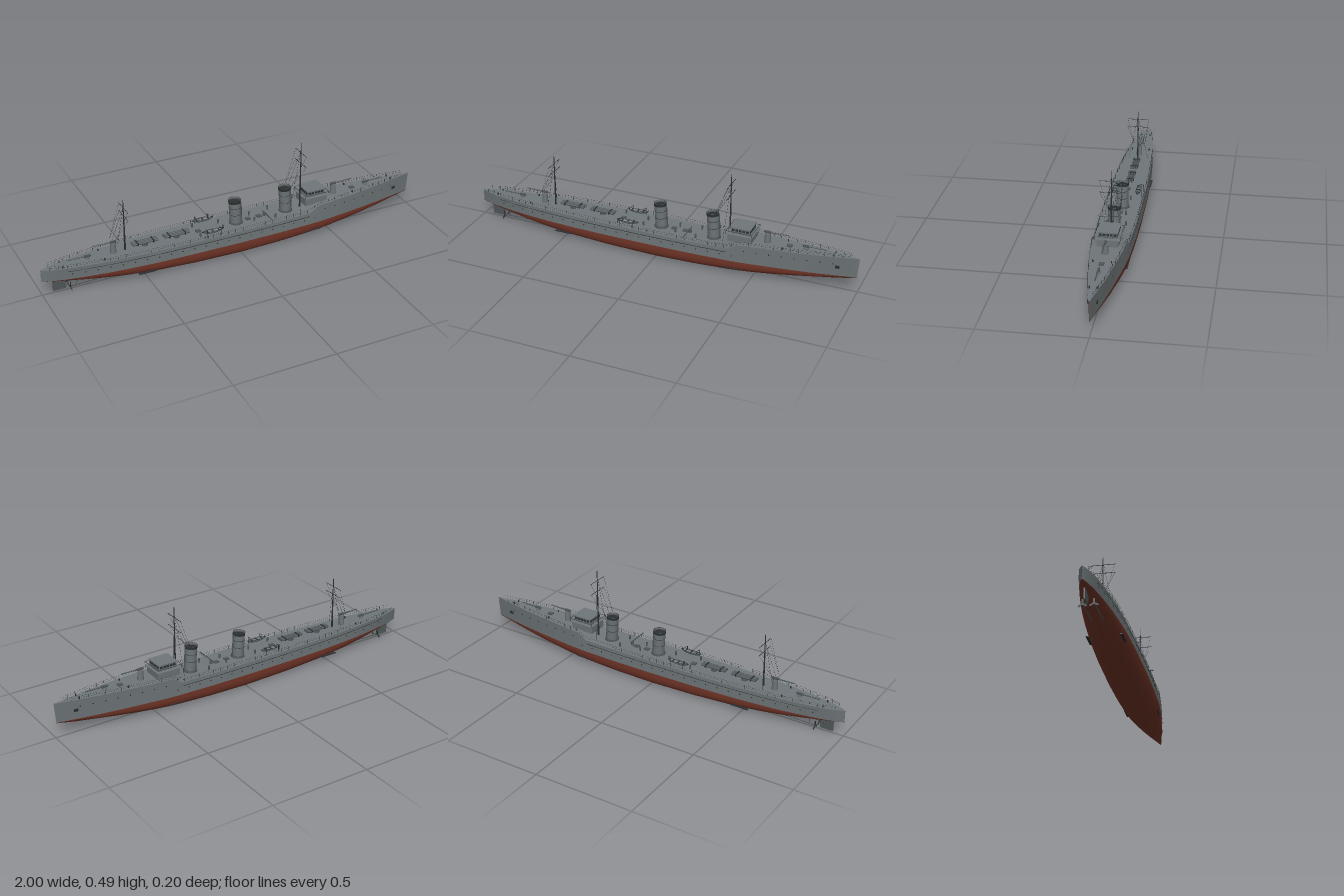
import * as THREE from 'three';
import { toCreasedNormals } from 'three/addons/utils/BufferGeometryUtils.js';

const mat = (name, color, side = THREE.FrontSide) => {
  const m = new THREE.MeshStandardMaterial({ color, side });
  m.name = name;
  return m;
};

// x, greatest half width, keel height
const STATIONS = [
  [-1, 0.001, 0.073], [-0.98, 0.012, 0.071], [-0.95, 0.023, 0.067], [-0.9, 0.037, 0.058], [-0.8, 0.055, 0.04],
  [-0.7, 0.068, 0.026], [-0.6, 0.077, 0.016], [-0.45, 0.087, 0.008], [-0.25, 0.093, 0.003], [0, 0.096, 0], [0.2, 0.095, 0.002],
  [0.375, 0.09, 0.005], [0.425, 0.087, 0.006], [0.5, 0.08, 0.009], [0.6, 0.068, 0.015], [0.7, 0.055, 0.024],
  [0.8, 0.04, 0.037], [0.9, 0.021, 0.053], [0.96, 0.009, 0.065], [1, 0.001, 0.073],
];
const WATER = 0.075;
const lerp = THREE.MathUtils.lerp;

function station(x) {
  let i = 1;
  while (i < STATIONS.length - 1 && STATIONS[i][0] < x) i++;
  const a = STATIONS[i - 1], b = STATIONS[i], t = (x - a[0]) / (b[0] - a[0]);
  return { w: lerp(a[1], b[1], t), keel: lerp(a[2], b[2], t) };
}
const deckY = x => x < 0.375 ? 0.136 : x < 0.425 ? lerp(0.136, 0.165, (x - 0.375) / 0.05) : lerp(0.165, 0.176, (x - 0.425) / 0.575);
const deckW = x => station(x).w * (0.95 + 0.05 * x ** 4);
const waterW = x => station(x).w * (1 - 0.2 * x ** 4);
const stemX = (x, y) => x > 0.85 ? x - 0.014 * (x - 0.85) / 0.15 * (1 - y / 0.176) : x;
const sideZ = (x, y) => lerp(waterW(x), deckW(x), (y - WATER) / (deckY(x) - WATER));

// Skin over cross-sections that share a point count
function loft(rows) {
  const n = rows[0].length, index = [];
  for (let i = 0; i < rows.length - 1; i++) for (let j = 0; j < n - 1; j++) {
    const a = i * n + j, b = a + n;
    index.push(a, a + 1, b, a + 1, b + 1, b);
  }
  const g = new THREE.BufferGeometry();
  g.setAttribute('position', new THREE.Float32BufferAttribute(rows.flat(2), 3));
  g.setIndex(index);
  return toCreasedNormals(g, 0.7);
}

export function createModel() {
  const ship = new THREE.Group();
  ship.name = 'warship';
  const grey = mat('hullGrey', 0x6c7375, THREE.DoubleSide), deckGrey = mat('deckGrey', 0x70777a, THREE.DoubleSide);
  const red = mat('bottomRed', 0x77382a, THREE.DoubleSide), dark = mat('darkGrey', 0x2c3032, THREE.DoubleSide);
  const mid = mat('fittingGrey', 0x505759);

  const add = (name, geo, m, x = 0, y = 0, z = 0, parent = ship) => {
    const mesh = new THREE.Mesh(geo, m);
    mesh.name = name;
    mesh.position.set(x, y, z);
    parent.add(mesh);
    return mesh;
  };
  const box = (name, w, h, d, m, x, y, z, p) => add(name, new THREE.BoxGeometry(w, h, d), m, x, y, z, p);
  const cyl = (name, r0, r1, h, m, x, y, z, p) => add(name, new THREE.CylinderGeometry(r0, r1, h, 20), m, x, y, z, p);
  const rod = (name, a, b, r, m = dark, p = ship, sides = 5) => {
    const A = new THREE.Vector3(...a), d = new THREE.Vector3(...b).sub(A);
    const mesh = add(name, new THREE.CylinderGeometry(r, r, d.length(), sides), m, 0, 0, 0, p);
    mesh.position.copy(A).addScaledVector(d, 0.5);
    mesh.quaternion.setFromUnitVectors(new THREE.Vector3(0, 1, 0), d.normalize());
    return mesh;
  };
  const group = name => { const g = new THREE.Group(); g.name = name; ship.add(g); return g; };

  // Hull: full round bilge amidships, V-shaped towards the ends
  const full = [[1, 1], [0.985, 0.7], [0.93, 0.38], [0.84, 0.17], [0.72, 0.06], [0.5, 0.01], [0, 0]];
  const bottom = STATIONS.map(([x, , keel]) => {
    const v = 0.75 * x * x;
    const half = full.map(([z, y]) => {
      const yy = lerp(keel, WATER, lerp(y, z, v));
      return [stemX(x, yy), yy, z * waterW(x)];
    });
    return [...half, ...half.slice(0, -1).reverse().map(([a, b, c]) => [a, b, -c])];
  });
  add('hullBottom', loft(bottom), red);
  for (const s of [1, -1]) {
    const rows = STATIONS.map(([x]) => {
      const r = [deckY(x), 0.118, WATER].map(y => [stemX(x, y), y, s * sideZ(x, y)]);
      return s > 0 ? r : r.reverse();
    });
    add('hullSide', loft(rows), grey);
  }
  add('deck', loft(STATIONS.map(([x]) => [[x, deckY(x), -deckW(x)], [x, deckY(x), deckW(x)]])), deckGrey);

  // Rubbing strakes, portholes, bilge plates, anchors
  for (const s of [1, -1]) {
    const strake = group('rubbingStrake');
    for (let x = -0.88; x < 0.37; x += 0.125)
      rod('strake', [x, 0.118, s * sideZ(x, 0.118)], [x + 0.125, 0.118, s * sideZ(x + 0.125, 0.118)], 0.0016, dark, strake);
    const ports = group('portholes');
    for (let x = -0.86; x < 0.9; x += 0.06) {
      const y = x > 0.45 ? 0.138 : 0.103;
      const p = cyl('porthole', 0.003, 0.003, 0.003, dark, x, y, s * sideZ(x, y), ports);
      p.rotation.x = Math.PI / 2;
    }
    for (const x of [-0.5, 0.39]) box('bilgePlate', 0.09, 0.003, 0.012, dark, x, 0.032, s * 0.078);
    box('anchor', 0.02, 0.014, 0.006, dark, 0.9, 0.122, s * sideZ(0.9, 0.122));
  }

  // Rudder, shafts and propellers
  box('rudder', 0.065, 0.052, 0.006, mid, -0.915, 0.036, 0);
  rod('rudderStock', [-0.9, 0.03, 0], [-0.9, 0.08, 0], 0.004, mid);
  for (const s of [1, -1]) {
    rod('propellerShaft', [-0.87, 0.027, s * 0.025], [-0.66, 0.034, s * 0.025], 0.0025, mid);
    rod('shaftStrut', [-0.84, 0.028, s * 0.025], [-0.83, 0.06, s * 0.015], 0.002, mid);
    for (let k = 0; k < 3; k++) {
      const b = box('propellerBlade', 0.003, 0.026, 0.008, dark, -0.868, 0.027, s * 0.025);
      b.geometry.translate(0, 0.009, 0);
      b.rotation.x = k * Math.PI * 2 / 3;
    }
  }

  // Funnels, raked slightly aft
  for (const [x, top] of [[0, 0.265], [0.275, 0.27]]) {
    const f = group('funnel'), h = top - 0.136;
    f.position.set(x + 0.003, 0.136, 0);
    f.rotation.z = 0.06;
    add('casing', new THREE.CylinderGeometry(0.029, 0.029, h, 24, 1, true), grey, 0, h / 2, 0, f);
    cyl('base', 0.033, 0.035, 0.012, mid, 0, 0.004, 0, f);
    add('topBand', new THREE.CylinderGeometry(0.0305, 0.0305, 0.014, 24, 1, true), dark, 0, h - 0.007, 0, f);
    cyl('smokeOpening', 0.029, 0.029, 0.002, dark, 0, h - 0.012, 0, f);
    for (const y of [0.4, 0.68]) add('hoop', new THREE.TorusGeometry(0.029, 0.0012, 5, 24).rotateX(Math.PI / 2), dark, 0, h * y, 0, f);
    rod('steamPipe', [0.033, 0, 0], [0.033, h * 0.95, 0], 0.003, mid, f, 8);
  }

  // Bridge: lower house, open wings, windowed wheelhouse
  const bridge = group('bridge');
  box('lowerHouse', 0.12, 0.04, 0.1, grey, 0.425, 0.18, 0, bridge);
  box('bridgeDeck', 0.132, 0.004, 0.122, deckGrey, 0.425, 0.201, 0, bridge);
  box('wheelhouse', 0.095, 0.032, 0.088, grey, 0.427, 0.217, 0, bridge);
  box('roof', 0.103, 0.004, 0.096, deckGrey, 0.427, 0.234, 0, bridge);
  for (let k = -2; k <= 2; k++) {
    for (const s of [1, -1]) {
      box('sideWindow', 0.013, 0.011, 0.002, dark, 0.427 + k * 0.018, 0.221, s * 0.0442, bridge);
      box('endWindow', 0.002, 0.011, 0.012, dark, 0.427 + s * 0.0477, 0.221, k * 0.0168, bridge);
    }
  }
  const corners = [[0.36, -0.06], [0.49, -0.06], [0.49, 0.06], [0.36, 0.06]];
  corners.forEach(([x, z], i) => {
    const [x2, z2] = corners[(i + 1) % 4];
    rod('wingPost', [x, 0.2, z], [x, 0.218, z], 0.001, dark, bridge);
    rod('wingRail', [x, 0.218, z], [x2, 0.218, z2], 0.001, dark, bridge);
  });

  // Deck guns: x, base, barrel height, barrel length and direction
  for (const [x, base, y, r, len] of [[0.74, 0.17, 0.187, 0.012, 0.1], [0.55, 0.166, 0.222, 0.016, 0.1],
    [-0.64, 0.136, 0.194, 0.015, -0.1], [-0.77, 0.136, 0.152, 0.01, -0.1]]) {
    const g = group('deckGun'), d = Math.sign(len);
    cyl('pedestal', r * 0.85, r, y - base - 0.006, grey, x, (y + base - 0.006) / 2, 0, g);
    box('breech', 0.03, 0.01, 0.01, mid, x, y, 0, g);
    rod('barrel', [x - d * 0.02, y, 0], [x + len, y + 0.002, 0], 0.003, mid, g, 8);
  }
  const sideGun = group('sideGun');
  cyl('pedestal', 0.006, 0.008, 0.02, mid, 0.157, 0.146, 0.004, sideGun);
  rod('barrel', [0.157, 0.156, -0.012], [0.157, 0.157, 0.1], 0.003, mid, sideGun, 8);

  // Triple torpedo tubes
  for (const x of [-0.48, -0.315]) {
    const t = group('torpedoTubes');
    cyl('mount', 0.014, 0.016, 0.016, mid, x, 0.143, 0, t);
    for (const z of [-0.0125, 0, 0.0125]) rod('tube', [x - 0.065, 0.155, z], [x + 0.065, 0.155, z], 0.0055, mid, t, 10);
    for (const k of [-0.04, 0.04]) box('clamp', 0.006, 0.013, 0.038, dark, x + k, 0.155, 0, t);
  }

  // Ship's boats on davits
  for (const s of [1, -1]) {
    const b = group('boat');
    const g = new THREE.SphereGeometry(1, 16, 8, 0, Math.PI * 2, Math.PI / 2, Math.PI / 2).scale(0.053, 0.015, 0.013);
    add('boatHull', g, grey, -0.15, 0.162, s * 0.06, b);
    add('boatRim', new THREE.TorusGeometry(1, 0.1, 5, 20).rotateX(Math.PI / 2).scale(0.052, 0.012, 0.012), dark, -0.15, 0.162, s * 0.06, b);
    for (const k of [-0.03, 0, 0.03]) box('thwart', 0.006, 0.002, 0.022, dark, -0.15 + k, 0.161, s * 0.06, b);
    for (const k of [-0.035, 0.035]) {
      rod('davit', [-0.15 + k, 0.136, s * 0.08], [-0.15 + k, 0.172, s * 0.08], 0.0015, dark, b);
      rod('davitArm', [-0.15 + k, 0.172, s * 0.08], [-0.15 + k, 0.174, s * 0.06], 0.0015, dark, b);
    }
  }

  // Small vents, hatches and bollards
  for (const [x, z] of [[0.09, 0.03], [0.09, -0.03], [0.2, 0.045], [0.2, -0.045], [-0.08, 0.03], [-0.08, -0.03], [-0.21, 0.05], [-0.21, -0.05]])
    cyl('vent', 0.005, 0.004, 0.022, mid, x, 0.146, z);
  for (const x of [-0.9, -0.7, 0.64, 0.88]) for (const s of [1, -1])
    cyl('bollard', 0.003, 0.003, 0.01, dark, x, deckY(x) + 0.005, s * deckW(x) * 0.7);
  for (const x of [0.07, 0.13, -0.2, 0.66]) box('hatch', 0.025, 0.006, 0.022, mid, x, deckY(x) + 0.003, 0);

  // Masts with yards, shrouds and stays
  for (const [x, top, base, yards, stayX, stayY] of [[0.36, 0.49, 0.136, [0.437, 0.38], 0.29, 0.27], [-0.58, 0.405, 0.136, [0.363, 0.321], -0.645, 0.2]]) {
    const m = group('mast');
    cyl('pole', 0.0018, 0.0045, top - base, dark, x, (top + base) / 2, 0, m);
    for (const y of yards) {
      rod('yard', [x, y, -0.057], [x, y, 0.057], 0.0014, dark, m);
      for (const s of [1, -1]) rod('halyard', [x, y, s * 0.055], [stayX, stayY, s * 0.028], 0.0005, dark, m, 3);
    }
    for (const s of [1, -1]) rod('shroud', [x, top - 0.03, 0], [x - 0.02, deckY(x), s * 0.05], 0.0006, dark, m, 3);
    rod('stay', [x, top - 0.04, 0], [stayX, stayY, 0], 0.0006, dark, m, 3);
  }

  // Railings along both deck edges
  for (const s of [1, -1]) {
    const rail = group('railing'), at = (x, h) => [x, deckY(x) + h, s * deckW(x) * 0.97];
    for (let i = 0; i < 48; i++) {
      const x = -0.96 + i * 0.04, x2 = x + 0.04;
      rod('post', at(x, 0), at(x, 0.018), 0.0007, dark, rail, 4);
      for (const h of [0.009, 0.018]) rod('wire', at(x, h), at(x2, h), 0.0004, dark, rail, 3);
    }
  }
  return ship;
}
